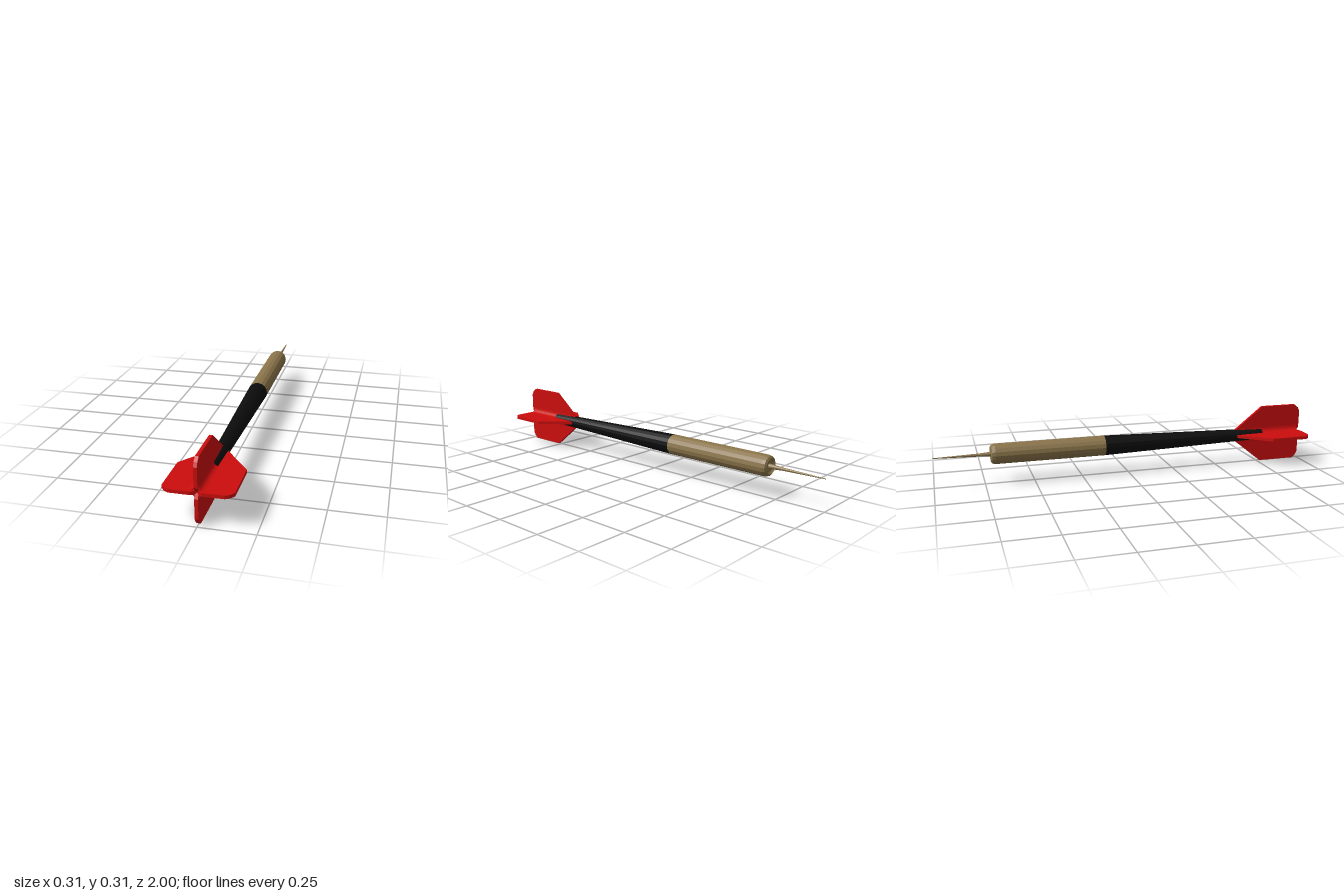
import * as THREE from 'three';

export function createModel() {
  const material = (name, color) => {
    const m = new THREE.MeshStandardMaterial({ color, flatShading: true });
    m.name = name;
    return m;
  };
  const brass = material('brass', 0x8a744a);
  const black = material('black', 0x0c0c0c);
  const red = material('red', 0xcc0d0d);

  const dart = new THREE.Group();
  dart.name = 'dart';
  dart.position.y = 0.154;

  const add = (name, geometry, mat) => {
    const mesh = new THREE.Mesh(geometry, mat);
    mesh.name = name;
    dart.add(mesh);
    return mesh;
  };
  // Solid turned about the z axis from [radius, z] pairs
  const turned = (name, profile, sides, mat) => add(name,
    new THREE.LatheGeometry(profile.map(p => new THREE.Vector2(...p)), sides).rotateX(Math.PI / 2), mat);

  // Needle, barrel with bevelled nose, tapering shaft
  turned('needle', [[0, -1], [0.002, -0.995], [0.006, -0.85], [0.008, -0.78], [0.013, -0.71]], 10, brass);
  turned('barrel', [[0, -0.705], [0.03, -0.71], [0.038, -0.718], [0.048, -0.712], [0.052, -0.695],
    [0.052, -0.13], [0, -0.13]], 16, brass);
  turned('shaft', [[0, -0.13], [0.052, -0.13], [0.029, 0.77], [0, 0.77]], 16, black);

  // Four flight fins, outlined as (z, radius)
  const t = 0.008;
  const outline = [[0.6, 0], [0.615, 0.032], [0.77, 0.154], [0.97, 0.154], [0.99, 0.137],
    [1, 0.118], [1, 0.025], [0.985, 0]];
  const finGeometry = new THREE.ExtrudeGeometry(
    new THREE.Shape(outline.map(p => new THREE.Vector2(...p))), { depth: 2 * t, bevelEnabled: false })
    .translate(0, 0, -t).rotateY(-Math.PI / 2);
  for (let i = 0; i < 4; i++) add('fin' + (i + 1), finGeometry, red).rotation.z = i * Math.PI / 2;

  // Filleted core joining the fins
  const r = 0.04;
  const core = new THREE.Shape();
  core.moveTo(r, t);
  core.quadraticCurveTo(t, t, t, r);
  core.lineTo(-t, r);
  core.quadraticCurveTo(-t, t, -r, t);
  core.lineTo(-r, -t);
  core.quadraticCurveTo(-t, -t, -t, -r);
  core.lineTo(t, -r);
  core.quadraticCurveTo(t, -t, r, -t);
  add('finCore', new THREE.ExtrudeGeometry(core, { depth: 0.34, bevelEnabled: false, curveSegments: 8 })
    .translate(0, 0, 0.645), red);

  const model = new THREE.Group();
  model.add(dart);
  return model;
}
